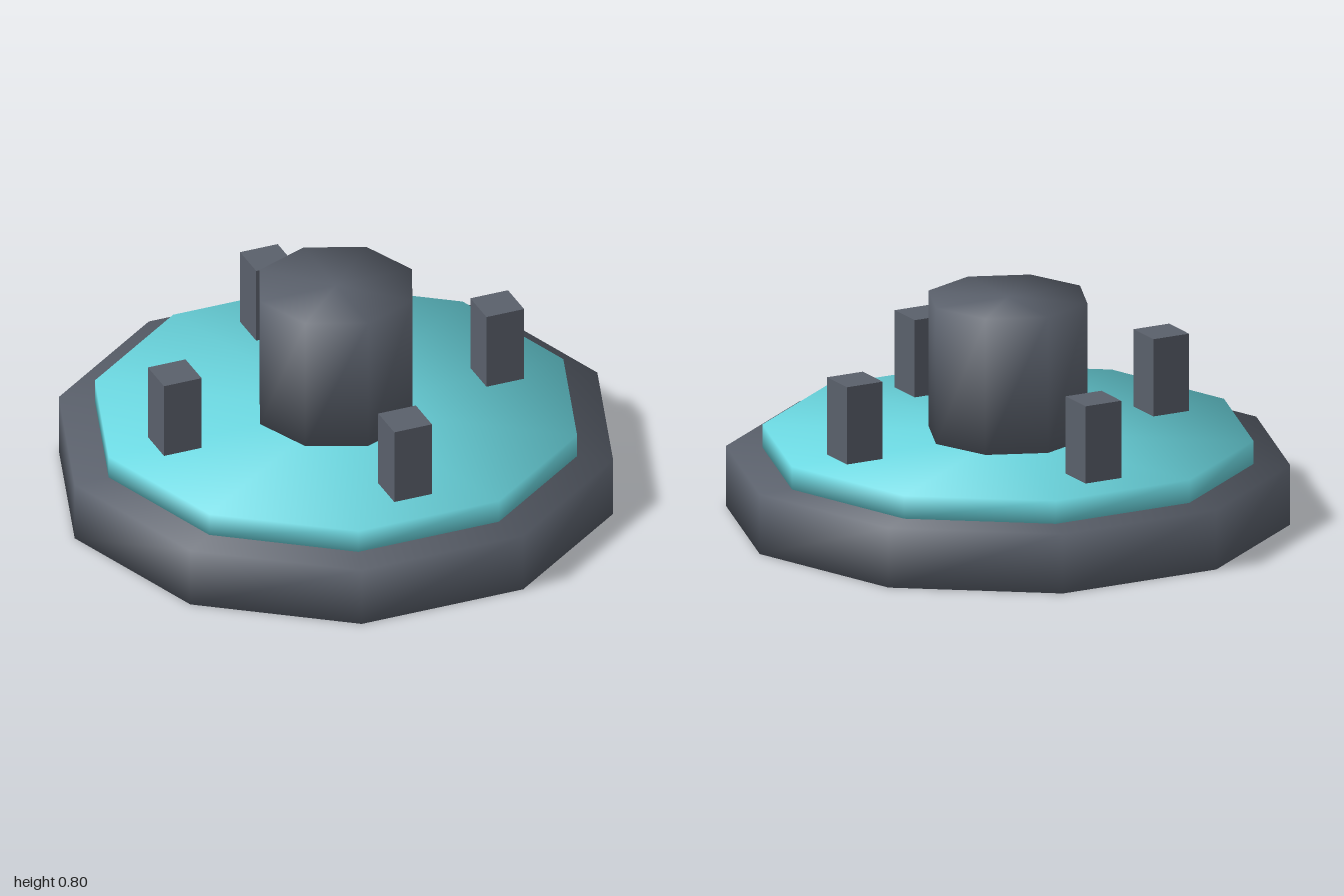
import * as THREE from 'three';

// Polygonal slab whose normals blend softly from the sides into the caps
function softPrism(radius, y0, y1, sides, start) {
  const geo = new THREE.CylinderGeometry(radius, radius, y1 - y0, sides, 1, false, start);
  const pos = geo.attributes.position;
  const normal = geo.attributes.normal;
  const spread = Math.cos(Math.PI / sides) / (1 - 2 / sides); // corner-angle weighting
  const n = new THREE.Vector3();
  for (let i = 0; i < pos.count; i++) {
    const k = spread / radius;
    n.set(pos.getX(i) * k, Math.sign(pos.getY(i)), pos.getZ(i) * k).normalize();
    normal.setXYZ(i, n.x, n.y, n.z);
  }
  return geo.translate(0, (y0 + y1) / 2, 0);
}

export function createModel() {
  const model = new THREE.Group();
  model.name = 'platform';

  const slate = new THREE.MeshStandardMaterial({ color: 0x5a606b });
  slate.name = 'slate grey';
  const aqua = new THREE.MeshStandardMaterial({ color: 0x6cd9e2 });
  aqua.name = 'aqua';

  const add = (name, geometry, material) => {
    const mesh = new THREE.Mesh(geometry, material);
    mesh.name = name;
    model.add(mesh);
    return mesh;
  };

  // Ten-sided base and coloured deck, with a corner on +x
  add('base', softPrism(1, 0, 0.218, 10, Math.PI / 2), slate);
  add('deck', softPrism(0.87, 0.218, 0.302, 10, Math.PI / 2), aqua);

  // Eight-sided central column
  add('column', softPrism(0.29, 0.302, 0.8, 8, 0), slate);

  // Four square posts around the column
  const postGeo = new THREE.BoxGeometry(0.144, 0.283, 0.144);
  for (let i = 0; i < 4; i++) {
    const a = (i * Math.PI) / 2;
    const post = add('post' + (i + 1), postGeo, slate);
    post.position.set(Math.cos(a) * 0.617, 0.4435, Math.sin(a) * 0.617);
  }

  return model;
}
